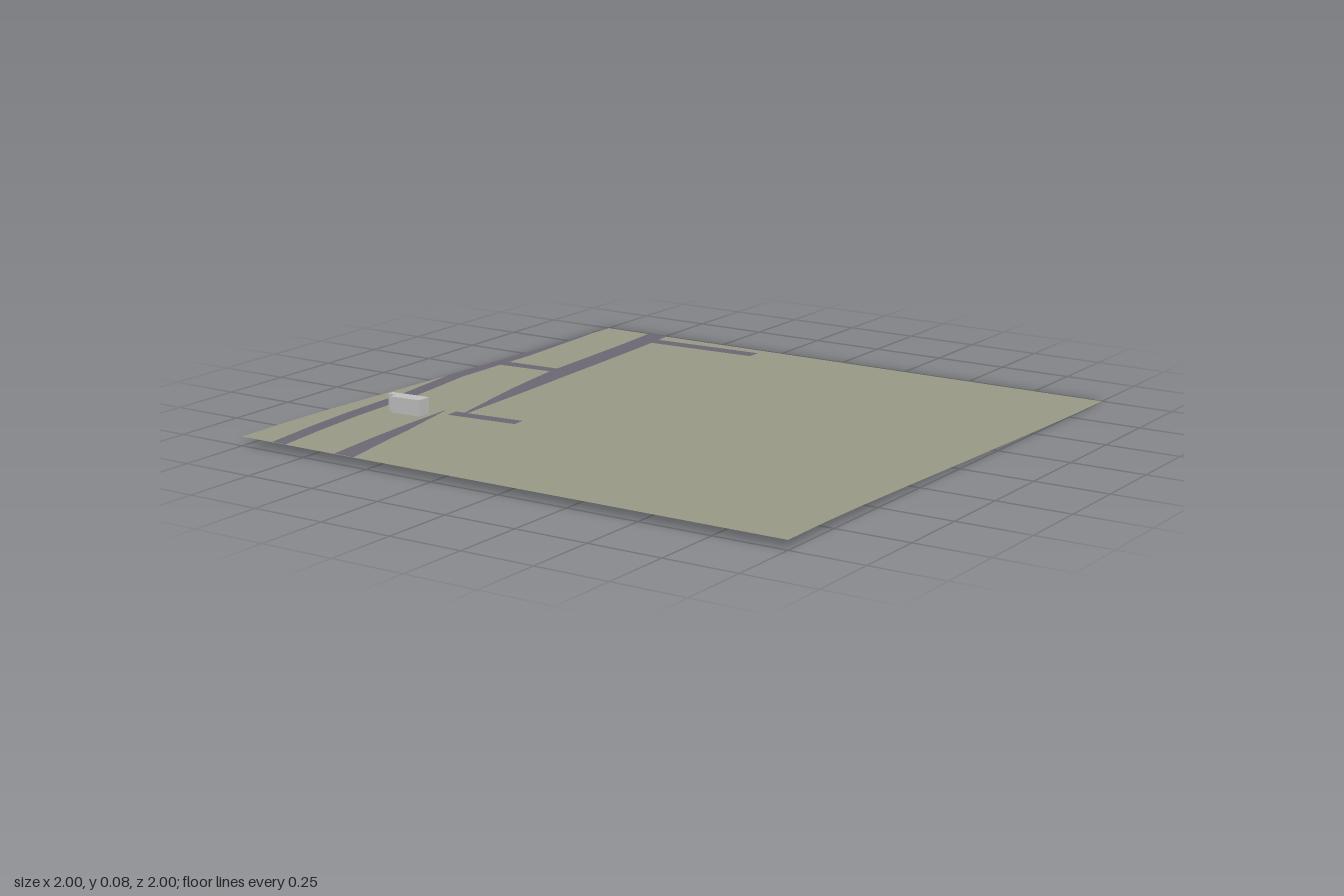
import * as THREE from 'three';

// Ground height along z: [z, y]
const PROFILE = [[-1, 0], [-0.8, 0.001], [-0.5, 0.006], [0, 0.016], [0.3, 0.023], [0.6, 0.029], [0.8, 0.031], [1, 0.03]];

function groundHeight(z) {
  let i = 0;
  while (i < PROFILE.length - 2 && z > PROFILE[i + 1][0]) i++;
  const [z0, y0] = PROFILE[i], [z1, y1] = PROFILE[i + 1];
  return y0 + (y1 - y0) * (z - z0) / (z1 - z0);
}

// Strip draped on the ground; each row is [leftX, leftZ, rightX, rightZ]
function drapedStrip(name, rows, lift, material, steps = 10) {
  const pos = [], index = [];
  for (let i = 0; i < rows.length - 1; i++) {
    for (let s = i ? 1 : 0; s <= steps; s++) {
      const [xl, zl, xr, zr] = rows[i].map((v, k) => v + (rows[i + 1][k] - v) * s / steps);
      pos.push(xl, groundHeight(zl) + lift, zl, xr, groundHeight(zr) + lift, zr);
    }
  }
  for (let a = 0; a < pos.length / 3 - 2; a += 2) index.push(a, a + 2, a + 1, a + 1, a + 2, a + 3);
  const geo = new THREE.BufferGeometry();
  geo.setAttribute('position', new THREE.Float32BufferAttribute(pos, 3));
  geo.setIndex(index);
  geo.computeVertexNormals();
  const mesh = new THREE.Mesh(geo, material);
  mesh.name = name;
  return mesh;
}

export function createModel() {
  const group = new THREE.Group();
  group.name = 'terrainTile';
  const make = (name, color) => {
    const m = new THREE.MeshStandardMaterial({ color, side: THREE.DoubleSide });
    m.name = name;
    return m;
  };
  const earth = make('olive ground', 0x989985);
  const asphalt = make('road grey', 0x6c6874);
  const concrete = make('building grey', 0xc0c0c0);

  // Sloping ground sheet
  group.add(drapedStrip('ground', PROFILE.map(([z]) => [-1, z, 1, z]), 0, earth, 4));

  const LIFT = 0.0012;
  // Main road, partly swallowed by the slope
  group.add(drapedStrip('mainRoadBack', [
    [-0.82, -1, -0.74, -1], [-0.755, -0.3, -0.67, -0.3], [-0.7, 0, -0.638, 0], [-0.61, 0.38, -0.6, 0.38],
  ], LIFT, asphalt));
  group.add(drapedStrip('mainRoadFront', [
    [-0.685, 0.38, -0.682, 0.38], [-0.66, 0.65, -0.615, 0.65], [-0.625, 1, -0.548, 1],
  ], LIFT, asphalt));
  group.add(drapedStrip('mainRoadBuried', [
    [-0.74, -0.07, -0.738, -0.07], [-0.685, 0.38, -0.61, 0.38], [-0.568, 0.91, -0.566, 0.91],
  ], -LIFT, asphalt));

  // Outer road along the edge of the tile
  group.add(drapedStrip('outerRoad', [
    [-1, -0.9, -0.998, -0.9], [-1, -0.45, -0.96, -0.45], [-1, -0.05, -0.945, -0.05],
    [-0.95, 0.25, -0.895, 0.25], [-0.92, 0.6, -0.865, 0.6], [-0.875, 1, -0.82, 1],
  ], LIFT, asphalt));
  group.add(drapedStrip('outerRoadBuried', [
    [-0.96, 0.01, -0.958, 0.01], [-0.93, 0.3, -0.905, 0.3], [-0.88, 0.61, -0.878, 0.61],
  ], -LIFT, asphalt));

  // Short side streets
  const streets = [
    [[-0.75, -0.935, -0.32, -0.955], [-0.75, -0.88, -0.32, -0.9]],
    [[-0.955, -0.33, -0.74, -0.345], [-0.955, -0.275, -0.74, -0.295]],
    [[-0.645, 0.37, -0.395, 0.345], [-0.64, 0.42, -0.39, 0.395]],
  ];
  streets.forEach((rows, i) => group.add(drapedStrip('sideStreet' + (i + 1), rows, LIFT, asphalt)));

  // L-shaped building, extruded upward from its footprint
  const footprint = [[-0.84, 0.45], [-0.7, 0.44], [-0.7, 0.49], [-0.81, 0.5], [-0.81, 0.475], [-0.84, 0.475]];
  const shape = new THREE.Shape(footprint.map(([x, z]) => new THREE.Vector2(x, -z)));
  const geo = new THREE.ExtrudeGeometry(shape, { depth: 0.059, bevelEnabled: false });
  geo.rotateX(-Math.PI / 2);
  const building = new THREE.Mesh(geo, concrete);
  building.position.y = 0.022;
  building.name = 'building';
  group.add(building);

  return group;
}
